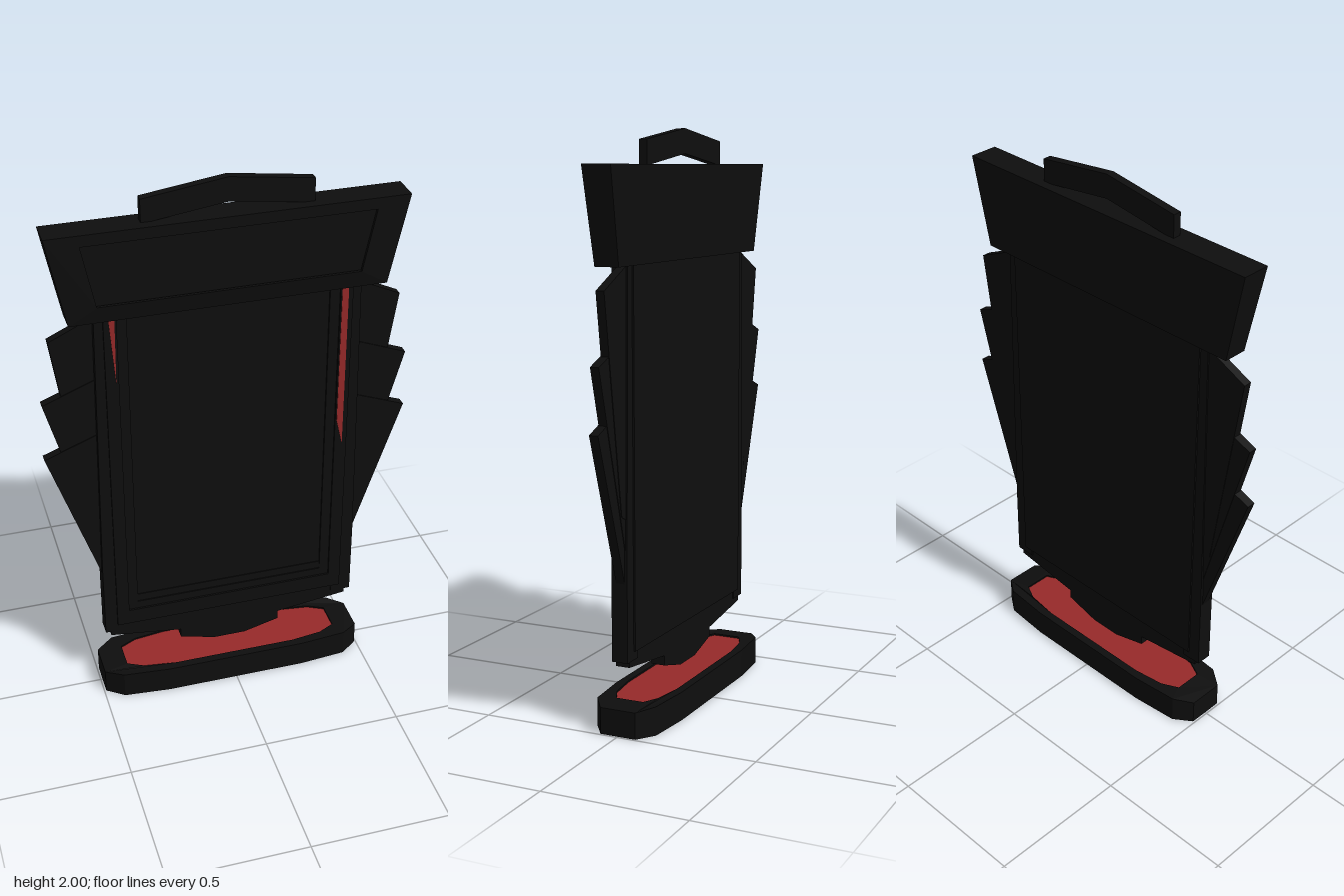
import * as THREE from 'three';

const black = new THREE.MeshStandardMaterial({ color: 0x0e0e0e, flatShading: true });
const red = new THREE.MeshStandardMaterial({ color: 0x982a2a, flatShading: true });

const vecs = pts => pts.map(([x, y]) => new THREE.Vector2(x, y));
// Complete a right-hand outline (bottom to top) with its mirror image
const mirrored = pts => [...pts, ...pts.filter(p => p[0] !== 0).reverse().map(([x, y]) => [-x, y])];
const rect = (w, y0, y1) => mirrored([[w, y0], [w, y1]]);

// Slab from an outline in x/y, spanning z0..z1, with optional hole
function slab(name, pts, z0, z1, mat = black, hole = null) {
  const shape = new THREE.Shape(vecs(pts));
  if (hole) shape.holes.push(new THREE.Path(vecs(hole)));
  const geo = new THREE.ExtrudeGeometry(shape, { depth: z1 - z0, bevelEnabled: false });
  geo.translate(0, 0, z0);
  const mesh = new THREE.Mesh(geo, mat);
  mesh.name = name;
  return mesh;
}

// Move every vertex by a rule and refresh normals
function reshape(mesh, rule) {
  const p = mesh.geometry.attributes.position;
  const v = new THREE.Vector3();
  for (let i = 0; i < p.count; i++) {
    rule(v.fromBufferAttribute(p, i));
    p.setXYZ(i, v.x, v.y, v.z);
  }
  mesh.geometry.computeVertexNormals();
}

export function createModel() {
  const model = new THREE.Group();
  model.name = 'signStand';

  // Floor base with a coloured inlay in its top
  const base = new THREE.Group();
  base.name = 'base';
  const rim = mirrored([[0.26, -0.125], [0.43, -0.11], [0.493, -0.065], [0.493, 0.065], [0.43, 0.11], [0.26, 0.125]]);
  const inner = mirrored([[0.23, -0.095], [0.345, -0.08], [0.405, -0.05], [0.405, 0.05], [0.345, 0.08], [0.23, 0.095]]);
  const rimMesh = slab('baseRim', rim, 0, 0.1, black, inner);
  reshape(rimMesh, v => { if (v.z > 0.09 && Math.abs(v.x) > 0.48) v.z -= 0.008; });
  base.add(rimMesh, slab('baseInlay', inner, 0.002, 0.094, red));
  base.rotation.x = -Math.PI / 2;
  model.add(base);

  // Lower core with the pointed foot that hovers over the base
  model.add(slab('foot', mirrored([[0.06, 0.125], [0.19, 0.16], [0.19, 0.195], [0.455, 0.23], [0.455, 0.4]]), -0.025, 0.025));

  // Main panel: outer frame, stepped inner frame, recessed face
  model.add(
    slab('panelBack', rect(0.43, 0.28, 1.58), -0.035, 0.022),
    slab('panelFrame', rect(0.43, 0.28, 1.58), 0.022, 0.036, black, rect(0.385, 0.34, 1.57)),
    slab('panelInnerFrame', rect(0.385, 0.34, 1.57), 0.022, 0.029, black, rect(0.35, 0.37, 1.565)),
  );

  // Stacked side fins and side rails, mirrored left and right
  const fins = [
    [[0.4, 0.5], [0.475, 0.52], [0.65, 1.04], [0.4, 1.135]],
    [[0.4, 0.6], [0.47, 0.62], [0.645, 1.255], [0.4, 1.35]],
    [[0.4, 0.7], [0.5, 0.75], [0.61, 1.49], [0.46, 1.56], [0.4, 1.58]],
  ];
  for (const s of [1, -1]) {
    const side = s > 0 ? 'left' : 'right';
    const flip = pts => pts.map(([x, y]) => [s * x, y]);
    fins.forEach((f, i) => model.add(slab(side + 'Fin' + (i + 1), flip(f), -0.02 - 0.002 * i, 0.012 - 0.003 * i)));
    model.add(slab(side + 'Rail', flip([[0.4, 0.25], [0.475, 0.25], [0.475, 0.53], [0.46, 1.56], [0.4, 1.56]]), -0.029, 0.029));
  }

  // Thin coloured strips running down the front of the frame
  model.add(
    slab('leftStrip', [[0.39, 1.57], [0.39, 1.03], [0.413, 0.93], [0.413, 1.57]], 0.03, 0.038, red),
    slab('rightStrip', [[-0.413, 1.57], [-0.395, 1.32], [-0.392, 1.57]], 0.03, 0.038, red),
  );

  // Flared header, thinner along its bottom edge, with a framed front
  const outline = mirrored([[0.545, 1.56], [0.61, 1.88]]);
  const window = mirrored([[0.45, 1.62], [0.495, 1.84]]);
  const header = [
    slab('headerBody', outline, -0.05, 0.042),
    slab('headerFrame', outline, 0.042, 0.053, black, window),
  ];
  for (const part of header) {
    reshape(part, v => { if (v.y < 1.6) v.z *= 0.84; });
    model.add(part);
  }

  // Chevron crown
  model.add(slab('crown', mirrored([[0, 1.915], [0.29, 1.875], [0.29, 1.96], [0, 2]]), -0.015, 0.015));

  return model;
}
